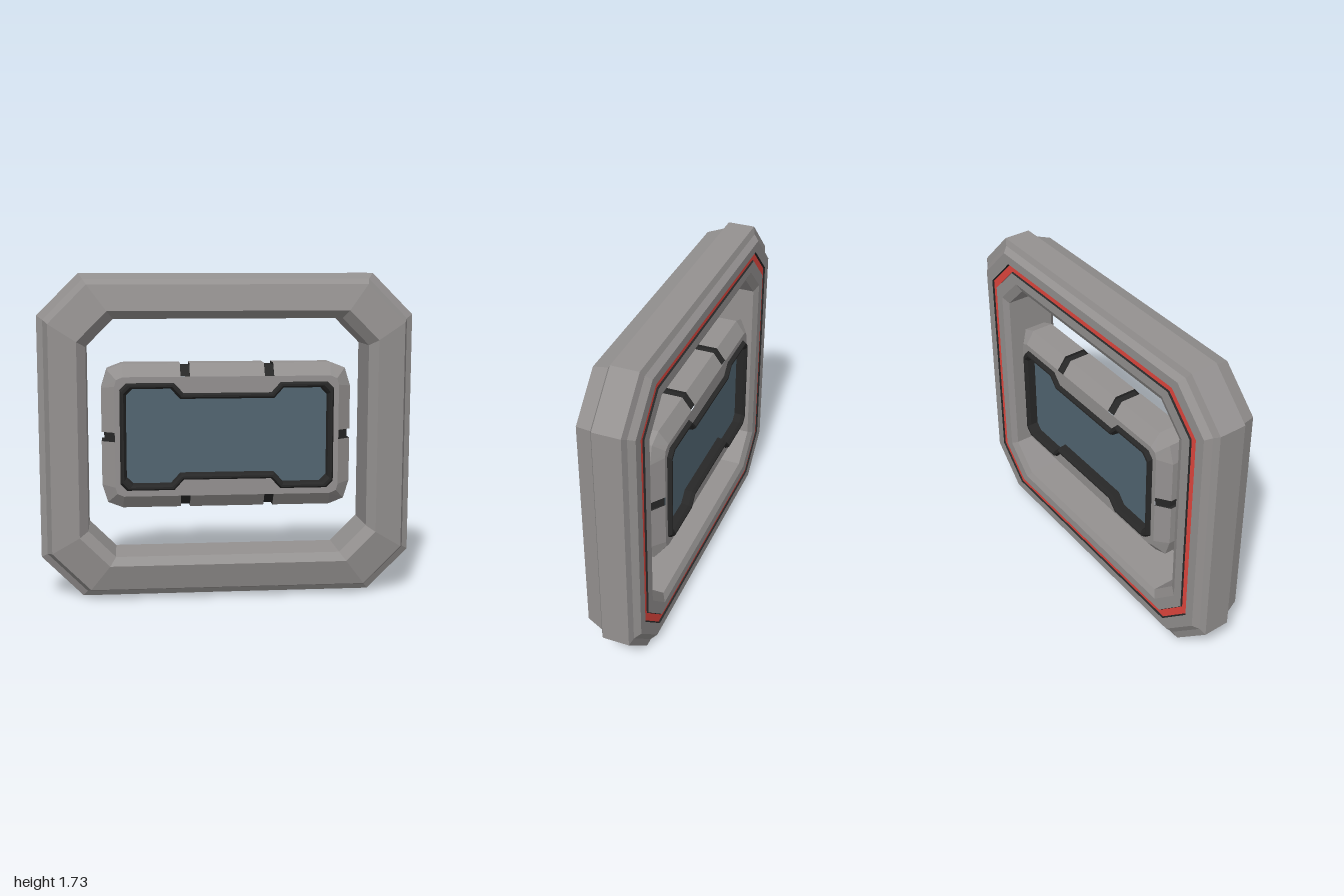
import * as THREE from 'three';

const mat = (name, color) => {
  const m = new THREE.MeshStandardMaterial({ color });
  m.name = name;
  return m;
};

// Mirrors a quarter outline (right side up to top) into a full counter-clockwise loop
function loop(quarter) {
  const flip = (list, sx, sy) => list.map(([x, y]) => [x * sx, y * sy]);
  const back = [...quarter].reverse();
  return [...quarter, ...flip(back, -1, 1), ...flip(quarter, -1, -1), ...flip(back, 1, -1)];
}

// Flat-faced skin through rings ordered front -> outside -> back.
// Skipped edges become gaps, whose end caps form the second material group.
function loft(rings, skip = []) {
  const skin = [], caps = [];
  const poly = (out, pts) => {
    for (let k = 1; k < pts.length - 1; k++) out.push(...pts[0], ...pts[k], ...pts[k + 1]);
  };
  const n = rings[0].length;
  for (let i = 0; i < n; i++) {
    const j = (i + 1) % n;
    if (skip.includes(i)) {
      poly(caps, rings.map((r) => r[i]));
      poly(caps, rings.map((r) => r[j]).reverse());
      continue;
    }
    for (let b = 0; b < rings.length - 1; b++) {
      const a = rings[b], c = rings[b + 1];
      poly(skin, [a[i], c[i], c[j], a[j]]);
    }
  }
  const g = new THREE.BufferGeometry();
  g.setAttribute('position', new THREE.Float32BufferAttribute([...skin, ...caps], 3));
  g.addGroup(0, skin.length / 3, 0);
  if (caps.length) g.addGroup(skin.length / 3, caps.length / 3, 1);
  g.computeVertexNormals();
  return g;
}

const atZ = (pts, z) => pts.map(([x, y]) => [x, y, z]);
const vectors = (pts) => pts.map(([x, y]) => new THREE.Vector2(x, y));

// Flat plate with an optional opening
function plate(outline, opening) {
  const shape = new THREE.Shape(vectors(outline));
  if (opening) shape.holes.push(new THREE.Path(vectors(opening)));
  return new THREE.ShapeGeometry(shape);
}

// Chamfered frame ring at a given inset
function frameRing([inset, z]) {
  const hx = 1 - inset, hy = 0.865 - inset * 0.92, c = 0.22 - inset * 0.3;
  return atZ(loop([[hx, hy - c], [hx - c, hy]]), z);
}

// Panel outline blended from the outer edge (0) to the face edge (1); includes the slot edges
function panelOutline(t) {
  const mix = (a, b) => a + (b - a) * t;
  const hx = mix(0.67, 0.6), hy = mix(0.388, 0.32);
  return loop([
    [hx, 0.025],
    [hx, mix(0.26, 0.27)],
    [mix(0.64, 0.59), mix(0.357, 0.305)],
    [mix(0.56, 0.555), hy],
    [0.25, hy],
    [0.2, hy],
  ]);
}

// Notched screen outline at a given inset
function screenOutline(t) {
  const hx = 0.573 - t, hy = 0.288 - t, c = 0.035, s = t * 0.5;
  return loop([[hx, hy - c], [hx - c, hy], [0.285 + s, hy], [0.235 + s, hy - 0.055]]);
}

export function createModel() {
  const grey = mat('neutral grey metal', 0x949190);
  const dark = mat('dark trim', 0x272727);
  const glass = mat('blue grey glass', 0x526672);
  const red = mat('red stripe', 0xe2463e);

  const model = new THREE.Group();
  model.name = 'framedScreen';
  const add = (parent, name, geometry, material) => {
    const m = new THREE.Mesh(geometry, material);
    m.name = name;
    parent.add(m);
    return m;
  };

  // Outer frame, its section split where the stripe groove lies on the back
  const frame = new THREE.Group();
  frame.name = 'frame';
  frame.position.y = 0.865;
  model.add(frame);
  const section = [
    [0.16, -0.157], [0.215, -0.157], [0.255, -0.138], [0.255, 0.13], [0.21, 0.173],
    [0.063, 0.137], [0.033, 0.05], [0, 0.03], [0, -0.115],
    [0.035, -0.128], [0.063, -0.157], [0.117, -0.157],
  ];
  add(frame, 'frameBody', loft(section.map(frameRing)), grey);
  add(frame, 'grooveOuterWall', loft([[0.117, -0.157], [0.122, -0.148]].map(frameRing)), dark);
  add(frame, 'backStripe', loft([[0.122, -0.148], [0.156, -0.148]].map(frameRing)), red);
  add(frame, 'grooveInnerWall', loft([[0.156, -0.148], [0.16, -0.157]].map(frameRing)), dark);

  // Floating centre panel
  const panel = new THREE.Group();
  panel.name = 'panel';
  panel.position.set(0, 0.867, -0.045);
  model.add(panel);

  // Bevelled rim in six segments, with a dark core showing in the slots
  const slots = [4, 6, 11, 16, 18, 23];
  const rim = [[1, 0.11], [0, 0.06], [0, -0.06], [1, -0.11]];
  const core = [[1, 0.105], [0.2, 0.057], [0.2, -0.057], [1, -0.105]];
  const rings = (list) => list.map(([t, z]) => atZ(panelOutline(t), z));
  add(panel, 'rimSegments', loft(rings(rim), slots), [grey, dark]);
  add(panel, 'slotCore', loft(rings(core)), dark);

  // Matching face, raised bezel and recessed screen on both sides
  for (const side of ['front', 'back']) {
    const half = new THREE.Group();
    half.name = side + 'Display';
    if (side === 'back') half.rotation.y = Math.PI;
    panel.add(half);
    add(half, 'facePlate', plate(panelOutline(1), screenOutline(0.005)), grey).position.z = 0.11;
    const bezel = [[0.034, 0.075], [0.03, 0.115], [0.02, 0.131], [0.01, 0.131], [0, 0.11]];
    add(half, 'bezel', loft(bezel.map(([t, z]) => atZ(screenOutline(t), z))), dark);
    add(half, 'screen', plate(screenOutline(0.034)), glass).position.z = 0.075;
  }
  return model;
}
